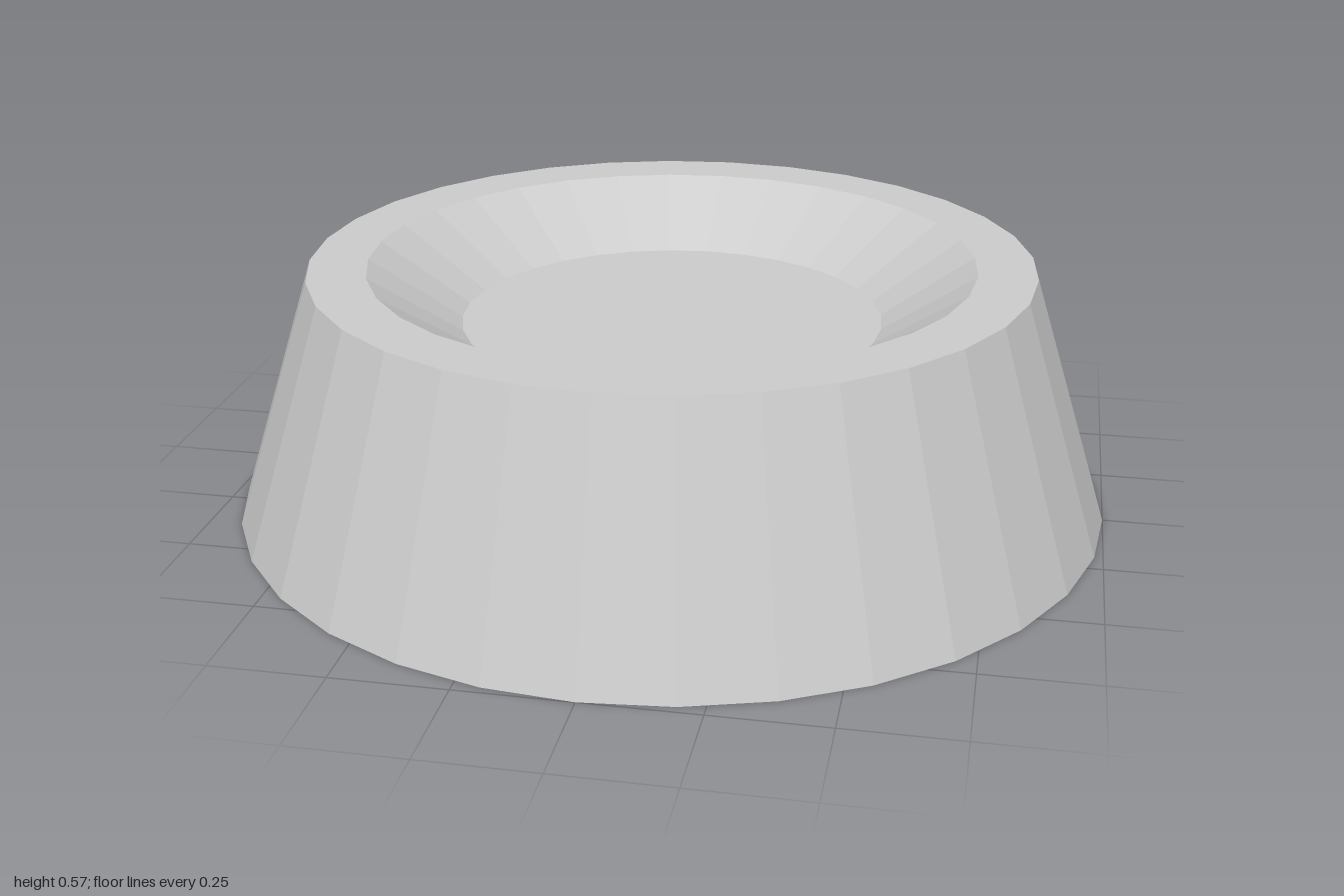
import * as THREE from 'three';

export function createModel() {
  const model = new THREE.Group();
  model.name = 'bowl';

  const grey = new THREE.MeshStandardMaterial({ color: 0xcccccc, flatShading: true, side: THREE.DoubleSide });
  grey.name = 'light grey';

  const SIDES = 32;
  const HEIGHT = 0.567;
  const lathe = (name, points) => {
    const profile = points.map(([r, y]) => new THREE.Vector2(r, y));
    const mesh = new THREE.Mesh(new THREE.LatheGeometry(profile, SIDES), grey);
    mesh.name = name;
    model.add(mesh);
  };

  // Sloping outer wall, open underneath
  lathe('outerWall', [[1, 0], [0.82, HEIGHT]]);
  // Flat rim
  lathe('rim', [[0.82, HEIGHT], [0.688, HEIGHT]]);
  // Conical basin running down to a point
  lathe('basin', [[0.688, HEIGHT], [0, 0.116]]);

  // Square sheet cutting through the basin, forming the level surface inside it
  const filling = new THREE.Mesh(new THREE.PlaneGeometry(1.18, 1.18).rotateX(-Math.PI / 2), grey);
  filling.name = 'filling';
  filling.position.y = 0.43;
  model.add(filling);

  return model;
}
